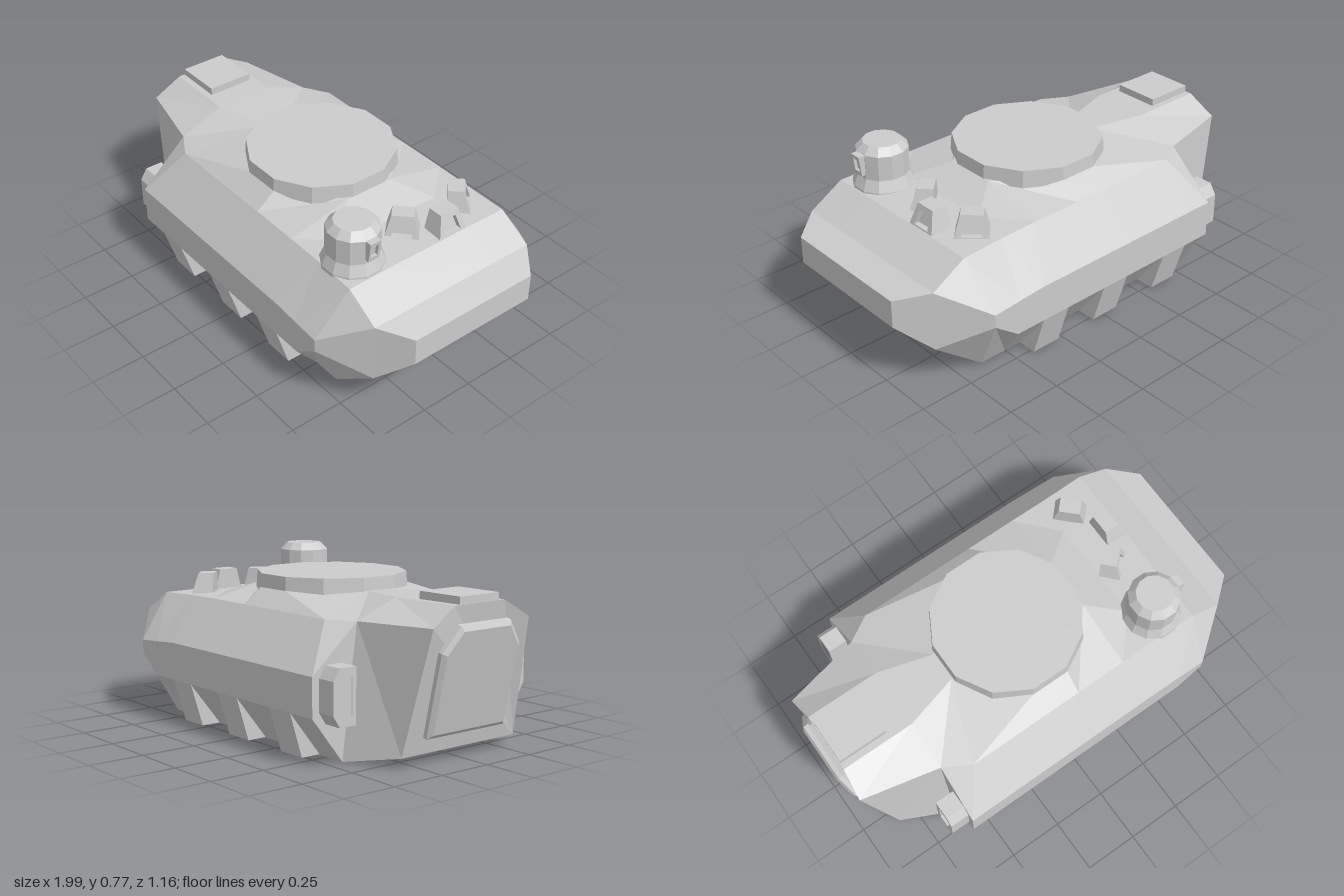
import * as THREE from 'three';

const mat = new THREE.MeshStandardMaterial({ color: 0xcccccc, flatShading: true });

function mesh(name, geo) {
  const m = new THREE.Mesh(geo, mat);
  m.name = name;
  return m;
}

// Skin half-sections (bottom to roof, +z side), mirrored in z, with flat end caps
function loft(sections) {
  const n = sections[0].length, ring = n * 2;
  const pos = [], idx = [];
  for (const half of sections) {
    for (const [x, y, z] of half) pos.push(x, y, z);
    for (const [x, y, z] of [...half].reverse()) pos.push(x, y, -z);
  }
  for (let i = 0; i < sections.length - 1; i++) {
    for (let j = 0; j < ring; j++) {
      const k = (j + 1) % ring;
      const a = i * ring + j, b = a + ring, d = i * ring + k, c = d + ring;
      if (j < n) idx.push(a, b, c, a, c, d);
      else idx.push(a, b, d, b, c, d);
    }
  }
  const last = (sections.length - 1) * ring;
  for (let j = 1; j < ring - 1; j++) {
    idx.push(0, j, j + 1, last, last + j + 1, last + j);
  }
  const g = new THREE.BufferGeometry();
  g.setAttribute('position', new THREE.Float32BufferAttribute(pos, 3));
  g.setIndex(idx);
  const flat = g.toNonIndexed();
  flat.computeVertexNormals();
  return flat;
}

const shapeOf = (pts) => new THREE.Shape(pts.map(([x, y]) => new THREE.Vector2(x, y)));

function extrude(shape, depth) {
  return new THREE.ExtrudeGeometry(shape, { depth, bevelEnabled: false });
}

// Solid block with a raised frame around a recess on its +z face; lean tilts that face
function framedBlock(name, pts, back, front, inset, lean = 0) {
  const group = new THREE.Group();
  group.name = name;
  const ys = pts.map((p) => p[1]);
  const cy = (Math.min(...ys) + Math.max(...ys)) / 2;
  const rim = shapeOf(pts);
  rim.holes.push(new THREE.Path(pts.map(([x, y]) => new THREE.Vector2(x * inset, cy + (y - cy) * inset))));
  const parts = [['body', extrude(shapeOf(pts), back), 0], ['frame', extrude(rim, front), back]];
  for (const [part, geo, z] of parts) {
    geo.translate(0, 0, z);
    const p = geo.attributes.position;
    for (let i = 0; i < p.count; i++) {
      if (p.getZ(i) > 0.001) p.setZ(i, p.getZ(i) - lean * p.getY(i));
    }
    geo.computeVertexNormals();
    group.add(mesh(name + part[0].toUpperCase() + part.slice(1), geo));
  }
  return group;
}

export function createModel() {
  const model = new THREE.Group();
  model.name = 'armouredVehicleHull';

  // Main hull: bottom edge, lower side, upper side, shoulder, roof edge
  model.add(mesh('hull', loft([
    [[-0.6, 0, 0.425], [-0.6, 0.2, 0.58], [-0.6, 0.37, 0.58], [-0.6, 0.57, 0.35], [-0.6, 0.65, 0.14]],
    [[-0.48, 0, 0.425], [-0.48, 0.2, 0.58], [-0.48, 0.37, 0.58], [-0.48, 0.57, 0.42], [-0.35, 0.643, 0.07]],
    [[-0.1, 0, 0.425], [-0.1, 0.2, 0.58], [-0.1, 0.37, 0.58], [-0.1, 0.57, 0.42], [-0.1, 0.64, 0.33]],
    [[0.08, 0, 0.425], [0.08, 0.2, 0.58], [0.08, 0.37, 0.58], [0.08, 0.57, 0.42], [0.08, 0.64, 0.33]],
    [[0.35, 0, 0.425], [0.35, 0.2, 0.58], [0.42, 0.37, 0.58], [0.32, 0.57, 0.42], [0.32, 0.637, 0.12]],
    [[0.5, 0, 0.425], [0.56, 0.2, 0.58], [0.55, 0.36, 0.58], [0.5, 0.567, 0.42], [0.48, 0.575, 0.24]],
    [[0.63, 0, 0.425], [0.68, 0.29, 0.58], [0.68, 0.35, 0.58], [0.71, 0.56, 0.425], [0.71, 0.562, 0.22]],
    [[0.87, 0.19, 0.425], [0.87, 0.19, 0.425], [0.87, 0.465, 0.425], [0.87, 0.465, 0.425], [0.87, 0.465, 0.22]],
    [[1, 0.305, 0.32], [1, 0.305, 0.32], [1, 0.432, 0.32], [1, 0.432, 0.32], [1, 0.432, 0.2]],
  ])));

  // Narrower rear compartment with a sloping back
  model.add(mesh('rearCompartment', loft([
    [[-0.84, 0.045, 0.32], [-0.96, 0.575, 0.27], [-0.945, 0.653, 0.14]],
    [[-0.6, 0, 0.425], [-0.6, 0.57, 0.35], [-0.6, 0.65, 0.14]],
  ])));

  // Rear door lying on the sloping back, edges drawn in by a bevel
  const doorShape = shapeOf([[-0.2, -0.18], [0.2, -0.18], [0.2, 0.16], [0.13, 0.255], [-0.13, 0.255], [-0.2, 0.16]]);
  const door = mesh('rearDoor', new THREE.ExtrudeGeometry(doorShape, {
    depth: 0.02, bevelThickness: 0.015, bevelSize: 0.02, bevelSegments: 1,
  }));
  const up = new THREE.Vector3(-0.223, 0.975, 0).normalize();
  const out = new THREE.Vector3(-0.975, -0.223, 0).normalize();
  door.quaternion.setFromRotationMatrix(new THREE.Matrix4().makeBasis(new THREE.Vector3(0, 0, 1), up, out));
  door.position.set(-0.9, 0.3125, 0);
  model.add(door);

  // Roof hatch at the back
  const hatch = mesh('rearRoofHatch', new THREE.BoxGeometry(0.23, 0.06, 0.22));
  hatch.position.set(-0.825, 0.655, 0);
  model.add(hatch);

  // Twelve-sided turret ring
  const ring = mesh('turretRing', new THREE.CylinderGeometry(0.338, 0.344, 0.08, 12, 1, false, Math.PI / 12));
  ring.position.set(-0.01, 0.66, 0);
  model.add(ring);

  // Commander cupola with flared foot and vision block
  const profile = [[0.14, 0.54], [0.138, 0.57], [0.117, 0.62], [0.117, 0.735], [0.085, 0.768], [0, 0.768]];
  const cupola = mesh('cupola', new THREE.LatheGeometry(
    profile.map(([r, y]) => new THREE.Vector2(r, y)), 12, Math.PI / 12));
  cupola.position.set(0.57, 0, 0.295);
  model.add(cupola);
  const sight = framedBlock('cupolaSight',
    [[-0.028, 0], [0.028, 0], [0.028, 0.095], [-0.028, 0.095]], 0.035, 0.015, 0.6, -0.12);
  sight.rotation.y = Math.PI / 2;
  sight.position.set(0.652, 0.64, 0.295);
  model.add(sight);

  // Three periscopes fanned across the front deck
  for (const [x, z, turn] of [[0.65, -0.14, 0], [0.56, -0.3, 0.8], [0.56, 0.015, -0.8]]) {
    const scope = framedBlock('periscope',
      [[-0.078, -0.02], [0.078, -0.02], [0.048, 0.095], [-0.048, 0.095]], 0.075, 0.025, 0.58, 0.3);
    scope.rotation.y = Math.PI / 2 + turn;
    scope.position.set(x - 0.045 * Math.cos(turn), 0.565, z + 0.045 * Math.sin(turn));
    model.add(scope);
  }

  for (const s of [1, -1]) {
    const side = s > 0 ? 'left' : 'right';

    // Brackets filling the undercut below the side
    for (const x of [-0.455, -0.08, 0.275]) {
      const bracket = mesh(side + 'SideBracket', extrude(
        shapeOf([[-s * 0.58, 0.2], [-s * 0.52, 0.003], [-s * 0.415, 0.003]]), 0.142));
      bracket.rotation.y = Math.PI / 2;
      bracket.position.x = x;
      model.add(bracket);
    }

    // Light housings on the rear step, outer corners chamfered
    const housing = framedBlock(side + 'RearHousing',
      [[-0.058, -0.12], [0.025, -0.12], [0.058, -0.07], [0.058, 0.07], [0.025, 0.12], [-0.058, 0.12]]
        .map(([u, v]) => [s * u, v]), 0.07, 0.03, 0.66);
    housing.rotation.y = -Math.PI / 2;
    housing.position.set(-0.59, 0.29, s * 0.487);
    model.add(housing);
  }
  return model;
}
